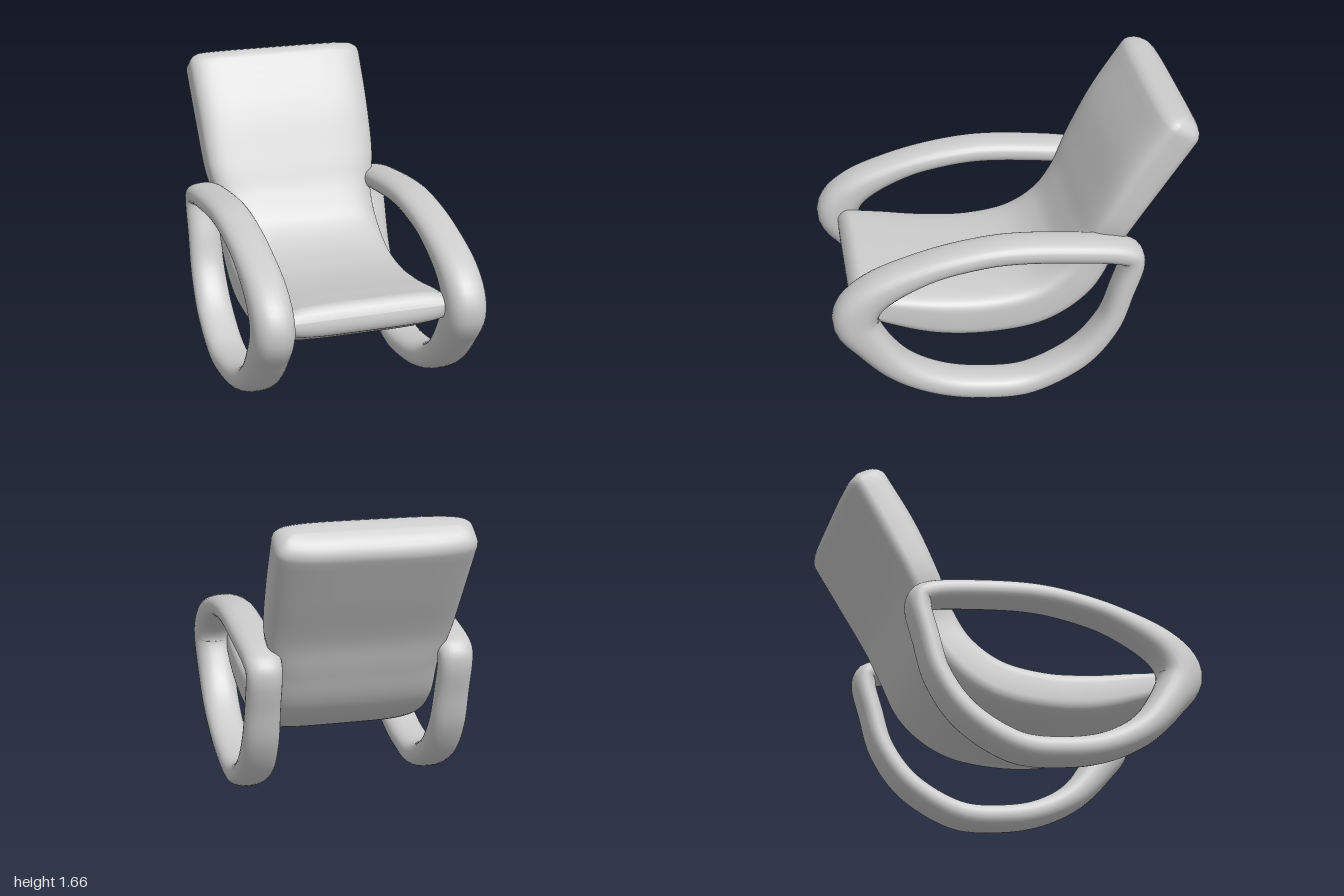
import * as THREE from 'three';

const material = new THREE.MeshStandardMaterial({ color: 0xcccccc });

// Skin a row of rounded-box sections {y, z, ty, tz, w, h} lying across x.
function loft(sections, { x = 0, power = 2, sides = 32, closed = false }) {
  const pos = [], index = [];
  const soft = v => Math.sign(v) * Math.pow(Math.abs(v), 2 / power);
  for (const s of sections) {
    for (let j = 0; j < sides; j++) {
      const a = (j / sides) * Math.PI * 2;
      const cx = soft(Math.cos(a)) * s.w, cn = soft(Math.sin(a)) * s.h;
      pos.push(x + cx, s.y + s.tz * cn, s.z - s.ty * cn);
    }
  }
  const n = sections.length;
  for (let i = 0; i < (closed ? n : n - 1); i++) {
    for (let j = 0; j < sides; j++) {
      const k = (j + 1) % sides, r = ((i + 1) % n) * sides;
      const a = i * sides + j, b = i * sides + k, c = r + k, d = r + j;
      index.push(a, b, d, b, c, d);
    }
  }
  const geo = new THREE.BufferGeometry();
  geo.setAttribute('position', new THREE.Float32BufferAttribute(pos, 3));
  geo.setIndex(index);
  geo.computeVertexNormals();
  return geo;
}

// Sample smooth sections through rows of [z, y, halfWidth, halfThickness].
function sample(rows, count, closed) {
  const curve = points => new THREE.CatmullRomCurve3(points, closed, 'catmullrom', 0.5);
  const path = curve(rows.map(r => new THREE.Vector3(0, r[1], r[0])));
  const size = curve(rows.map(r => new THREE.Vector3(r[2], r[3], 0)));
  const out = [];
  for (let i = 0; i < (closed ? count : count + 1); i++) {
    const p = path.getPoint(i / count), t = path.getTangent(i / count), s = size.getPoint(i / count);
    out.push({ y: p.y, z: p.z, ty: t.y, tz: t.z, w: s.x, h: s.y });
  }
  return out;
}

// Rounded end: sections that shrink while moving along the tangent.
function cap(s, dir, length, corner) {
  const out = [];
  for (let i = 1; i <= 6; i++) {
    const a = (i / 6) * Math.PI / 2, d = dir * length * Math.sin(a);
    out.push({ ...s, y: s.y + s.ty * d, z: s.z + s.tz * d,
      w: s.w - corner * (1 - Math.cos(a)), h: s.h * Math.cos(a) });
  }
  return out;
}

function add(group, name, geo) {
  const mesh = new THREE.Mesh(geo, material);
  mesh.name = name;
  group.add(mesh);
}

export function createModel() {
  const chair = new THREE.Group();
  chair.name = 'armchair';

  // One padded sling forms the seat and the reclined backrest
  const cushionRows = [
    [0.83, 0.622, 0.45, 0.085], [0.65, 0.56, 0.465, 0.115], [0.4, 0.492, 0.47, 0.14],
    [0.13, 0.466, 0.47, 0.146], [-0.14, 0.502, 0.47, 0.15], [-0.345, 0.633, 0.465, 0.145],
    [-0.468, 0.83, 0.46, 0.13], [-0.56, 1.03, 0.502, 0.125], [-0.705, 1.29, 0.515, 0.14],
    [-0.872, 1.55, 0.522, 0.136],
  ];
  const body = sample(cushionRows, 60, false);
  const front = cap(body[0], -1, 0.055, 0.02).reverse();
  const top = cap(body[body.length - 1], 1, 0.085, 0.1);
  add(chair, 'seatAndBackCushion', loft([...front, ...body, ...top], { power: 4.5, sides: 64 }));

  // Closed side loops: armrest, front bend, curved runner and rear upright
  const loopRows = [
    [0.875, 0.62, 0.112, 0.125], [0.765, 0.775, 0.11, 0.098], [0.5, 0.895, 0.105, 0.072],
    [0.24, 0.95, 0.105, 0.066], [0.0, 0.962, 0.105, 0.066], [-0.32, 0.93, 0.105, 0.066],
    [-0.57, 0.885, 0.1, 0.066], [-0.635, 0.82, 0.095, 0.066], [-0.585, 0.63, 0.095, 0.066],
    [-0.51, 0.41, 0.1, 0.067], [-0.345, 0.21, 0.105, 0.07], [-0.07, 0.076, 0.105, 0.074],
    [0.2, 0.08, 0.105, 0.074], [0.44, 0.142, 0.105, 0.075], [0.645, 0.265, 0.108, 0.083],
    [0.795, 0.445, 0.11, 0.1],
  ];
  // The right loop is slightly shorter at the rear and underneath
  const rightRows = loopRows.map(([z, y, w, h]) => [z < 0 ? z * 0.945 : z, y + 0.018 * (1 - y), w, h]);
  add(chair, 'leftArmLoop', loft(sample(loopRows, 96, true), { x: 0.522, power: 2.4, sides: 28, closed: true }));
  add(chair, 'rightArmLoop', loft(sample(rightRows, 96, true), { x: -0.527, power: 2.4, sides: 28, closed: true }));
  return chair;
}
